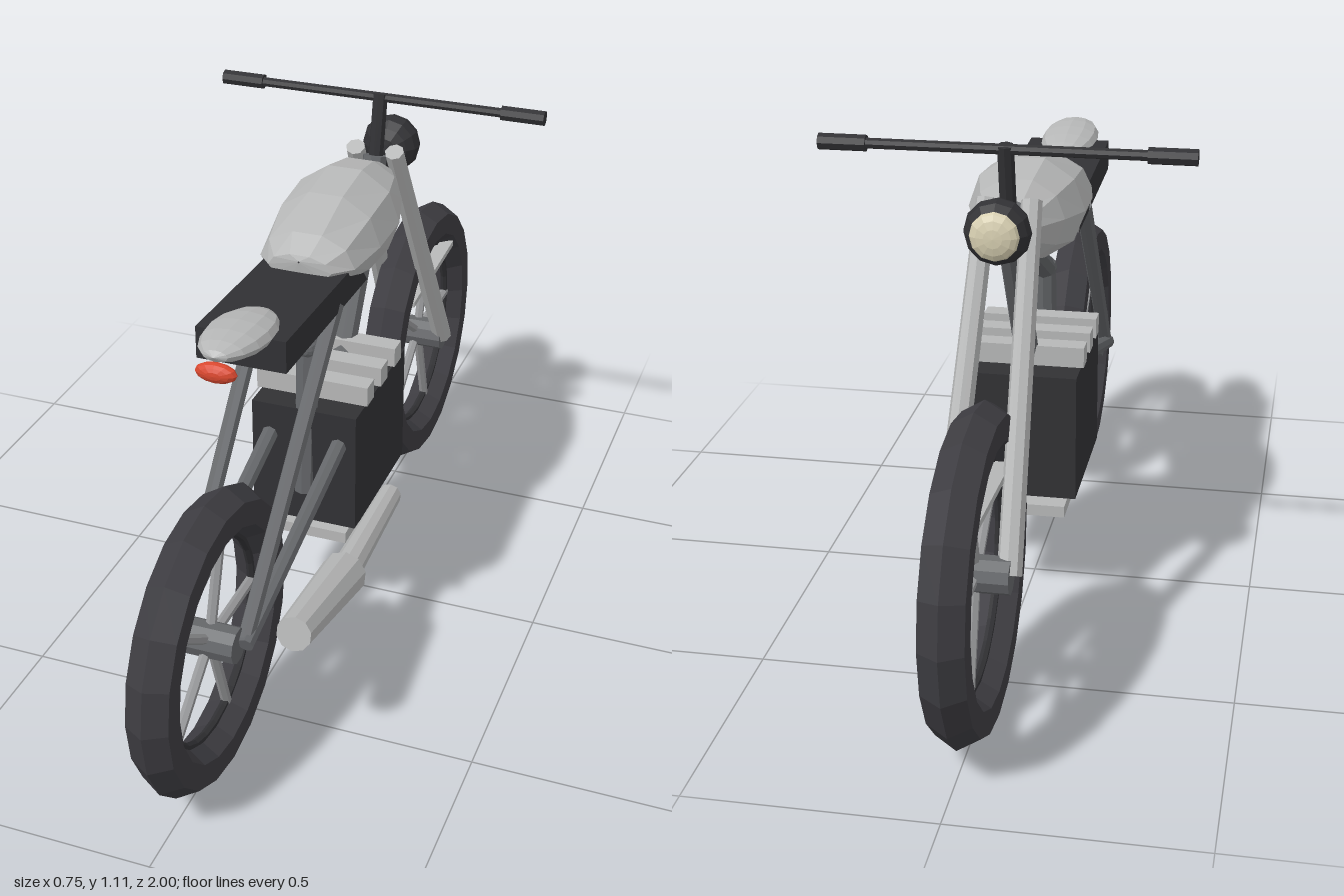
import * as THREE from 'three';

const mat = (name, color) => {
  const m = new THREE.MeshStandardMaterial({ color, flatShading: true });
  m.name = name;
  return m;
};
const V = (x, y, z) => new THREE.Vector3(x, y, z);

export function createModel() {
  const bike = new THREE.Group();
  bike.name = 'motorcycle';
  const rubber = mat('tyreRubber', 0x3d3c41);
  const black = mat('blackParts', 0x313134);
  const steel = mat('frameSteel', 0x646669);
  const silver = mat('silver', 0xb6b7b7);
  const spokeGrey = mat('spokeGrey', 0x98999b);
  const red = mat('tailRed', 0xd9482f);
  const cream = mat('lampCream', 0xd8d0b2);

  const add = (name, geo, material, x = 0, y = 0, z = 0, parent = bike) => {
    const m = new THREE.Mesh(geo, material);
    m.name = name;
    m.position.set(x, y, z);
    parent.add(m);
    return m;
  };
  const box = (name, w, h, d, material, x, y, z) =>
    add(name, new THREE.BoxGeometry(w, h, d), material, x, y, z);
  // Cylinder from a (radius ra) to b (radius rb)
  const rod = (name, a, b, ra, rb, material, sides = 8, parent = bike) => {
    const mid = a.clone().add(b).multiplyScalar(0.5);
    const m = add(name, new THREE.CylinderGeometry(rb, ra, a.distanceTo(b), sides), material, mid.x, mid.y, mid.z, parent);
    m.quaternion.setFromUnitVectors(V(0, 1, 0), b.clone().sub(a).normalize());
    return m;
  };
  const blob = (name, rx, ry, rz, material, x, y, z) => {
    const geo = new THREE.SphereGeometry(1, 12, 8).rotateX(Math.PI / 2).scale(rx, ry, rz);
    return add(name, geo, material, x, y, z);
  };

  // Wheels: hexagonal tyre section, thin rim, hub and five spokes
  const wheel = (name, y, z, outer, hubHalf) => {
    const g = new THREE.Group();
    g.name = name;
    g.position.set(0, y, z);
    bike.add(g);
    const r = 0.051, R = outer - r;
    add('tyre', new THREE.TorusGeometry(R, r, 6, 20).rotateY(Math.PI / 2), rubber, 0, 0, 0, g);
    add('rim', new THREE.TorusGeometry(R - r, 0.009, 6, 28).rotateY(Math.PI / 2), black, 0, 0, 0, g);
    rod('hub', V(-hubHalf, 0, 0), V(hubHalf, 0, 0), 0.038, 0.038, steel, 10, g);
    for (let i = 0; i < 5; i++) {
      const a = i * Math.PI * 2 / 5;
      rod('spoke', V(0, 0, 0), V(0, Math.sin(a) * (R - r + 0.01), -Math.cos(a) * (R - r + 0.01)), 0.011, 0.011, spokeGrey, 6, g);
    }
  };
  wheel('rearWheel', 0.322, 0.683, 0.318, 0.062);
  wheel('frontWheel', 0.34, -0.662, 0.337, 0.07);

  // Mirrored fork legs, seat stays and swing arms
  for (const s of [-1, 1]) {
    rod('forkLeg', V(s * 0.066, 0.34, -0.662), V(s * 0.046, 0.985, -0.298), 0.025, 0.022, silver);
    rod('seatStay', V(s * 0.07, 0.325, 0.67), V(s * 0.08, 0.84, 0.18), 0.017, 0.019, steel);
    rod('swingArm', V(s * 0.075, 0.325, 0.68), V(s * 0.08, 0.49, 0.13), 0.017, 0.019, steel);
  }
  const fender = box('frontFender', 0.08, 0.014, 0.33, silver, 0, 0.51, -0.665);
  fender.rotation.x = 0.07;

  // Central frame tubes
  rod('downTube', V(0, 0.54, -0.075), V(0, 0.9, -0.29), 0.027, 0.027, steel);
  rod('topTube', V(0, 0.70, 0.135), V(0, 0.84, -0.13), 0.026, 0.026, steel);
  rod('seatTube', V(0, 0.35, 0.15), V(0, 0.71, 0.13), 0.026, 0.026, steel);
  blob('frameJoint', 0.028, 0.028, 0.028, steel, 0, 0.703, 0.133);
  rod('headTube', V(0, 0.86, -0.27), V(0, 0.97, -0.3), 0.028, 0.028, steel);

  // Engine with cooling fins and skid plate
  box('engine', 0.24, 0.282, 0.335, black, 0, 0.418, -0.008);
  for (const z of [0.086, -0.006, -0.1]) box('coolingFin', 0.256, 0.045, 0.045, silver, 0, 0.587, z);
  box('skidPlate', 0.188, 0.026, 0.315, silver, 0, 0.238, -0.008);

  // Exhaust on one side
  rod('exhaustPipe', V(0.135, 0.247, -0.04), V(0.16, 0.288, 0.36), 0.027, 0.033, silver, 10);
  rod('muffler', V(0.157, 0.284, 0.335), V(0.166, 0.355, 0.65), 0.05, 0.037, silver, 10);

  // Fuel tank: rings along z as [z, half width, bottom, widest height, top]
  const rings = [
    [0.18, 0.002, 0.92, 0.922, 0.924], [0.175, 0.07, 0.88, 0.905, 0.935],
    [0.13, 0.105, 0.85, 0.9, 0.965], [0.02, 0.123, 0.815, 0.905, 1.007],
    [-0.1, 0.125, 0.803, 0.91, 1.02], [-0.2, 0.098, 0.83, 0.92, 1.0],
    [-0.285, 0.055, 0.875, 0.925, 0.962], [-0.315, 0.035, 0.895, 0.92, 0.945],
    [-0.318, 0.002, 0.918, 0.92, 0.922],
  ];
  const N = 10, pos = [], idx = [];
  rings.forEach(([z, w, lo, mid, hi], i) => {
    for (let j = 0; j < N; j++) {
      const a = j * Math.PI * 2 / N, s = Math.sin(a);
      pos.push(w * Math.cos(a), mid + s * (s > 0 ? hi - mid : mid - lo) / Math.sin(Math.PI * 0.4), z);
      if (i < rings.length - 1) {
        const k = (j + 1) % N, p = i * N;
        idx.push(p + j, p + N + j, p + k, p + k, p + N + j, p + N + k);
      }
    }
  });
  const tank = new THREE.BufferGeometry();
  tank.setAttribute('position', new THREE.Float32BufferAttribute(pos, 3));
  tank.setIndex(idx);
  tank.computeVertexNormals();
  add('fuelTank', tank, silver);

  // Seat: side profile swept across the width
  const profile = new THREE.Shape([[-0.49, 0.843], [-0.02, 0.825], [-0.08, 0.893], [-0.49, 0.912]].map(p => new THREE.Vector2(...p)));
  const seat = new THREE.ExtrudeGeometry(profile, { depth: 0.188, bevelEnabled: false });
  seat.translate(0, 0, -0.094).rotateY(Math.PI / 2);
  add('seat', seat, black);

  // Tail cowl and lamp
  blob('tailCowl', 0.067, 0.03, 0.127, silver, 0, 0.915, 0.493).rotation.x = -0.1;
  blob('tailLight', 0.043, 0.021, 0.018, red, 0, 0.89, 0.607);

  // Headlight
  blob('headlightShell', 0.068, 0.068, 0.052, black, 0, 0.955, -0.418);
  blob('headlightLens', 0.05, 0.05, 0.02, cream, 0, 0.955, -0.453);
  rod('headlightBracket', V(0, 0.955, -0.3), V(0, 0.955, -0.4), 0.014, 0.014, black);

  // Handlebar, riser and grips
  rod('riser', V(0, 0.95, -0.303), V(0, 1.105, -0.333), 0.017, 0.017, black);
  rod('handlebar', V(-0.375, 1.097, -0.333), V(0.375, 1.097, -0.333), 0.011, 0.011, black);
  for (const s of [-1, 1]) rod('grip', V(s * 0.28, 1.097, -0.333), V(s * 0.377, 1.097, -0.333), 0.017, 0.017, black);

  return bike;
}
